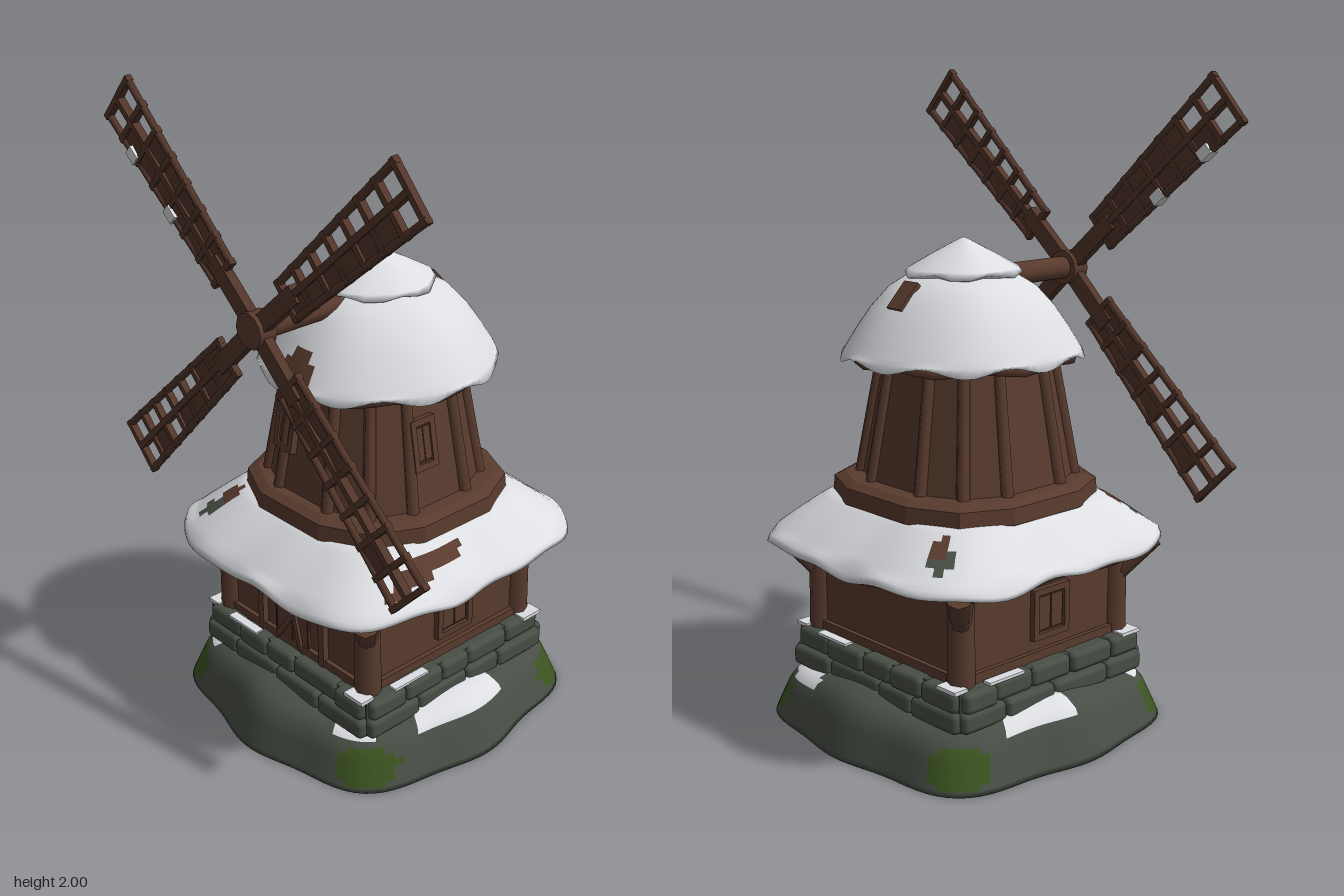
import * as THREE from 'three';
import { RoundedBoxGeometry } from 'three/addons/geometries/RoundedBoxGeometry.js';

const paint = (name, color) => {
  const m = new THREE.MeshStandardMaterial({ color });
  m.name = name;
  return m;
};

export function createModel() {
  const model = new THREE.Group();
  model.name = 'windmill';
  const wood = paint('wood', 0x593b2e);
  const sailWood = paint('sailWood', 0x52352a);
  const darkWood = paint('darkWood', 0x3a241b);
  const stone = paint('stone', 0x484e45);
  const moss = paint('moss', 0x3c5420);
  const snow = paint('snow', 0xdcdee2);

  let seed = 7;
  const rand = () => ((seed = (seed * 16807) % 2147483647) / 2147483647);

  const add = (name, geometry, material, parent = model) => {
    const mesh = new THREE.Mesh(geometry, material);
    mesh.name = name;
    parent.add(mesh);
    return mesh;
  };
  const box = (name, [w, h, d], [x, y, z], mat, parent) => {
    const m = add(name, new THREE.BoxGeometry(w, h, d), mat, parent);
    m.position.set(x, y, z);
    return m;
  };
  // Round beam between two points
  const beam = (name, a, b, r0, r1, mat, parent, sides = 8) => {
    const p = new THREE.Vector3(...a), q = new THREE.Vector3(...b), d = q.clone().sub(p);
    const m = add(name, new THREE.CylinderGeometry(r1, r0, d.length(), sides), mat, parent);
    m.position.copy(p).add(q).multiplyScalar(0.5);
    m.quaternion.setFromUnitVectors(new THREE.Vector3(0, 1, 0), d.normalize());
    return m;
  };

  // Cross-sections: angle 0 faces +z
  const roundSquare = n => t => {
    const s = Math.sin(t), c = Math.cos(t);
    const r = (Math.abs(s) ** n + Math.abs(c) ** n) ** (-1 / n);
    return [s * r, c * r];
  };
  // Twelve-sided tower plan, one quarter turned four times
  const towerPlan = [];
  for (let q = 0; q < 4; q++) {
    const s = Math.round(Math.sin(q * Math.PI / 2)), c = Math.round(Math.cos(q * Math.PI / 2));
    for (const [x, z] of [[0.38, 1], [0.8, 0.8], [1, 0.38]]) towerPlan.push([x * c + z * s, z * c - x * s]);
  }
  const towerSection = t => towerPlan[Math.round(t / (Math.PI / 6)) % 12];

  // Closed loft through rings [y, halfX, halfZ]; pick(x, y, z) chooses a material index per panel
  function loft(rings, segs, section, { pick = () => 0, warp, flat, cz = 0 } = {}) {
    const pos = [], buckets = [[], [], []];
    rings.forEach(([y, rx, rz], j) => {
      for (let i = 0; i < segs; i++) {
        const t = (i / segs) * Math.PI * 2, [x, z] = section(t);
        const [k, dy] = warp ? warp(t, j) : [1, 0];
        pos.push(x * rx * k, y + dy, z * rz * k + cz);
      }
    });
    const lo = pos.length / 3, top = rings.length - 1;
    pos.push(0, rings[0][0], cz, 0, rings[top][0], cz);
    const face = (...v) => {
      const c = [0, 1, 2].map(k => v.reduce((s, q) => s + pos[q * 3 + k], 0) / v.length);
      const bucket = buckets[pick(...c)];
      for (let k = 2; k < v.length; k++) bucket.push(v[0], v[k - 1], v[k]);
    };
    for (let i = 0; i < segs; i++) {
      const n = (i + 1) % segs;
      for (let j = 0; j < top; j++) face(j * segs + i, j * segs + n, (j + 1) * segs + n, (j + 1) * segs + i);
      face(n, i, lo);
      face(top * segs + i, top * segs + n, lo + 1);
    }
    let g = new THREE.BufferGeometry();
    g.setAttribute('position', new THREE.Float32BufferAttribute(pos, 3));
    g.setIndex(buckets.flat());
    let start = 0;
    buckets.forEach((b, k) => { if (b.length) g.addGroup(start, b.length, k); start += b.length; });
    if (flat) g = g.toNonIndexed();
    g.computeVertexNormals();
    return g;
  }
  // Insert extra rings so painted patches get fine outlines
  const refine = (rings, n) => rings.flatMap((r, i) => i === rings.length - 1 ? [r]
    : Array.from({ length: n }, (_, k) => r.map((v, c) => v + (rings[i + 1][c] - v) * k / n)));
  const near = (x, z, cx, cz, rx, rz) => ((x - cx) / rx) ** 2 + ((z - cz) / rz) ** 2 < 1;

  // Rocky mound with mossy corners and patches of snow on its shoulder
  const lobes = t => 0.026 * Math.cos(8 * t) + 0.012 * Math.sin(5 * t + 1);
  add('rockMound', loft(
    refine([[0, 0.525, 0.53], [0.03, 0.515, 0.52], [0.07, 0.5, 0.505], [0.11, 0.485, 0.49], [0.145, 0.465, 0.465], [0.165, 0.43, 0.43], [0.175, 0.38, 0.38]], 2),
    120, roundSquare(3.1), {
      warp: (t, j) => [1 + lobes(t), 0.0012 * j * Math.sin(4 * t + 2)],
      pick: (x, y, z) => {
        const ax = Math.abs(x), az = Math.abs(z);
        if (((ax - az) / 0.14) ** 2 + ((y - 0.07) / 0.058) ** 2 < 1) return 1;
        if (y > 0.13 && (near(x, z, 0.45, 0.05, 0.12, 0.17) || near(x, z, 0.36, 0.42, 0.1, 0.08) || near(x, z, -0.4, 0.4, 0.08, 0.08)
          || near(x, z, -0.45, -0.12, 0.1, 0.13) || near(x, z, 0.3, -0.43, 0.1, 0.1))) return 2;
        return 0;
      },
    }), [stone, moss, snow]);

  // Two courses of foundation stones around a solid core
  const foundation = new THREE.Group();
  foundation.name = 'foundation';
  model.add(foundation);
  box('foundationCore', [0.75, 0.12, 0.75], [0, 0.215, 0], stone, foundation);
  for (let side = 0; side < 4; side++) {
    const wall = new THREE.Group();
    wall.name = 'foundationSide';
    wall.rotation.y = side * Math.PI / 2;
    foundation.add(wall);
    for (const [y, h, reach, count] of [[0.185, 0.065, 0.405, 4], [0.245, 0.065, 0.395, 5]]) {
      const w = reach - 0.025;
      let x = -w;
      for (let i = 0; i < count; i++) {
        const end = i === count - 1 ? w : -w + (2 * w * (i + 0.8 + 0.4 * rand())) / count;
        const s = add('foundationStone', new RoundedBoxGeometry(end - x, h, 0.1, 2, 0.018), stone, wall);
        s.position.set((x + end) / 2, y + 0.006 * (rand() - 0.5), reach - 0.05 + 0.012 * (rand() - 0.5));
        x = end;
      }
    }
    box('ledgeSnow', [0.08, 0.012, 0.05], [0.335, 0.279, 0.37], snow, wall);
    box('ledgeSnow', [0.14, 0.009, 0.03], [-0.2, 0.279, 0.375], snow, wall);
  }

  // Lower house: walls, corner posts and flared brackets
  box('lowerWalls', [0.67, 0.32, 0.67], [0, 0.43, 0], wood);
  for (const sx of [-1, 1]) for (const sz of [-1, 1]) {
    beam('cornerPost', [sx * 0.325, 0.27, sz * 0.325], [sx * 0.325, 0.58, sz * 0.325], 0.042, 0.038, wood);
    beam('cornerBracket', [sx * 0.33, 0.46, sz * 0.33], [sx * 0.405, 0.585, sz * 0.405], 0.03, 0.042, wood);
  }
  for (let side = 0; side < 4; side++) {
    const trim = new THREE.Group();
    trim.name = 'wallTrim';
    trim.rotation.y = side * Math.PI / 2;
    model.add(trim);
    box('sillBeam', [0.64, 0.03, 0.03], [0, 0.29, 0.335], wood, trim);
  }

  // Door with planks and braces
  const door = new THREE.Group();
  door.name = 'door';
  door.position.set(0, 0, 0.34);
  model.add(door);
  for (const s of [-1, 1]) box('doorJamb', [0.025, 0.29, 0.03], [s * 0.145, 0.425, 0], wood, door);
  box('doorLeaf', [0.15, 0.22, 0.012], [0, 0.39, 0], wood, door);
  for (const x of [-0.075, 0, 0.075]) box('plankSeam', [0.006, 0.22, 0.006], [x, 0.39, 0.005], darkWood, door);
  for (const [x, a] of [[-0.03, -0.6], [0.03, 0.25]]) box('doorBrace', [0.018, 0.12, 0.012], [x, 0.345, 0.01], wood, door).rotation.z = a;

  // Framed window, facing +z before it is turned
  function windowAt(x, y, z, turn, w, h, lean = 0) {
    const g = new THREE.Group();
    g.name = 'window';
    g.position.set(x, y, z);
    g.rotation.set(lean, turn, 0, 'YXZ');
    model.add(g);
    box('windowPane', [w, h, 0.008], [0, 0, 0.004], darkWood, g);
    for (const s of [-1, 1]) {
      box('windowFrame', [0.02, h + 0.02, 0.026], [s * w / 2, 0, 0.006], wood, g);
      box('windowFrame', [w, 0.02, 0.026], [0, s * h / 2, 0.006], wood, g);
      box('windowShutter', [w * 0.36, h * 0.74, 0.01], [s * w * 0.2, 0, 0.008], wood, g);
    }
  }
  windowAt(0.335, 0.42, -0.02, Math.PI / 2, 0.13, 0.14);
  windowAt(-0.335, 0.42, 0.02, -Math.PI / 2, 0.13, 0.14);
  windowAt(-0.1, 0.99, 0.254, -0.1, 0.075, 0.14, -0.17);
  windowAt(0.259, 0.99, 0.05, Math.PI / 2, 0.075, 0.14, -0.17);

  // Skirt roof: wooden soffit under a drooping blanket of snow
  const droop = (t, j) => [1 + 0.006 * Math.sin(11 * t), j < 5 ? 0.008 * Math.sin(7 * t + 1) + 0.006 * Math.sin(13 * t) : 0];
  add('skirtSoffit', loft([[0.555, 0.33, 0.33], [0.572, 0.48, 0.505], [0.595, 0.482, 0.505], [0.64, 0.41, 0.42]], 64, roundSquare(3.8), {
    cz: -0.008, warp: (t, j) => j ? [1, 0.008 * Math.sin(7 * t + 1)] : [1, 0],
  }), [wood]);
  add('skirtSnow', loft(
    refine([[0.588, 0.47, 0.5], [0.582, 0.502, 0.53], [0.605, 0.495, 0.522], [0.635, 0.465, 0.485], [0.67, 0.425, 0.44], [0.705, 0.385, 0.39], [0.73, 0.35, 0.35], [0.735, 0.3, 0.3]], 2),
    120, roundSquare(4), {
      cz: -0.008, warp: droop,
      pick: (x, y, z) => near(x, z, 0.4, 0.15, 0.022, 0.15) || near(x, z, 0.42, 0.25, 0.022, 0.1) || near(x, z, -0.3, 0.335, 0.035, 0.035) || near(x, z, -0.3, -0.38, 0.025, 0.045) ? 1
        : near(x, z, -0.32, 0.39, 0.04, 0.035) || near(x, z, -0.33, -0.4, 0.03, 0.045) ? 2 : 0,
    }), [snow, wood, stone]);

  // Upper tower: tapering body, rim and corner posts
  add('towerRim', loft([[0.715, 0.345, 0.345], [0.725, 0.362, 0.362], [0.775, 0.358, 0.358], [0.79, 0.33, 0.33]], 12, towerSection, { flat: true, cz: -0.01 }), [wood]);
  add('towerBody', loft([[0.77, 0.293, 0.293], [1.19, 0.223, 0.223]], 12, towerSection, { flat: true }), [wood]);
  for (const [x, z] of towerPlan) beam('towerPost', [x * 0.293, 0.77, z * 0.293], [x * 0.225, 1.19, z * 0.225], 0.021, 0.018, wood, model, 6);

  // Cap roof: wooden soffit, snow dome and a small pointed crown
  add('capSoffit', loft([[1.14, 0.23, 0.23], [1.155, 0.34, 0.345], [1.18, 0.345, 0.35], [1.25, 0.29, 0.29]], 32, roundSquare(2), {
    cz: -0.015, warp: (t, j) => j ? [1, 0.008 * Math.sin(8 * t)] : [1, 0],
  }), [wood]);
  add('capSnow', loft(
    refine([[1.175, 0.33, 0.345], [1.168, 0.36, 0.375], [1.2, 0.345, 0.355], [1.25, 0.315, 0.323], [1.31, 0.275, 0.28], [1.37, 0.22, 0.225], [1.405, 0.165, 0.165], [1.415, 0.1, 0.1]], 2),
    80, roundSquare(2), {
      cz: -0.02, warp: (t, j) => [1 + 0.012 * Math.sin(5 * t), j < 3 ? 0.012 * Math.sin(9 * t) : 0],
      pick: (x, y, z) => z > 0.2 && Math.abs(x - 0.005) < 0.028 + 0.04 * Math.abs(Math.sin((y - 1.17) * 30)) && y < 1.28 ? 1 : 0,
    }), [snow, wood]);
  add('crownSnow', loft([[1.4, 0.14, 0.15], [1.412, 0.172, 0.18], [1.428, 0.165, 0.17], [1.47, 0.09, 0.095], [1.508, 0.02, 0.02], [1.515, 0.004, 0.004]], 20, roundSquare(2), {
    cz: -0.015, warp: (t, j) => [1 + 0.03 * Math.sin(5 * t), j < 2 ? 0.008 * Math.sin(6 * t) : 0],
  }), [snow]);
  // Bare ridge board showing at the back of the cap
  box('ridgeBoard', [0.06, 0.016, 0.1], [0, 1.36, -0.252], wood).rotation.x = -0.8;

  // Axle and hub
  beam('axle', [0, 1.385, 0], [0, 1.385, 0.47], 0.036, 0.036, wood, model, 12);
  beam('hub', [0, 1.385, 0.415], [0, 1.385, 0.475], 0.055, 0.055, wood, model, 12);

  // Sails: lattice frames with tattered covering; each string marks covered cells from hub to tip
  const inner = 0.19, cells = 7;
  function sail(angle, outer, left, right) {
    const g = new THREE.Group();
    g.name = 'sail';
    g.position.set(0, 1.385, 0.445);
    g.rotation.z = angle * Math.PI / 180;
    model.add(g);
    const half = u => 0.055 + 0.028 * (u - inner) / (outer - inner);
    box('sailArm', [0.24, 0.055, 0.03], [0.12, 0, 0], sailWood, g);
    box('sailSpar', [outer - inner, 0.02, 0.026], [(inner + outer) / 2, 0, 0], sailWood, g);
    for (const s of [-1, 1]) {
      beam('sailRail', [inner - 0.01, s * half(inner), 0], [outer + 0.01, s * half(outer), 0], 0.012, 0.012, sailWood, g, 6);
    }
    const step = (outer - inner) / cells;
    for (let i = 0; i <= cells; i++) {
      const u = inner + step * i, w = half(u);
      box('sailRung', [0.018, 2 * w + 0.02, 0.022], [u, 0, 0], sailWood, g);
      [left, right].forEach((mask, k) => {
        if (mask[i] !== '1') return;
        const panel = box('sailPanel', [step, w, 0.01], [u + step / 2, (k ? -1 : 1) * w / 2, 0], sailWood, g);
        panel.rotation.y = (i % 2 ? 1 : -1) * 0.08;
      });
    }
    return g;
  }
  sail(41.5, 0.815, '0000000', '1111110');
  const covered = sail(138.5, 0.815, '1111110', '1111100');
  sail(224, 0.855, '1111010', '1100000');
  sail(-43.7, 0.86, '1110000', '1100010');
  for (const [u, v] of [[0.44, 0.06], [0.66, 0.07]]) box('sailSnow', [0.045, 0.035, 0.034], [u, v, 0], snow, covered);

  return model;
}
